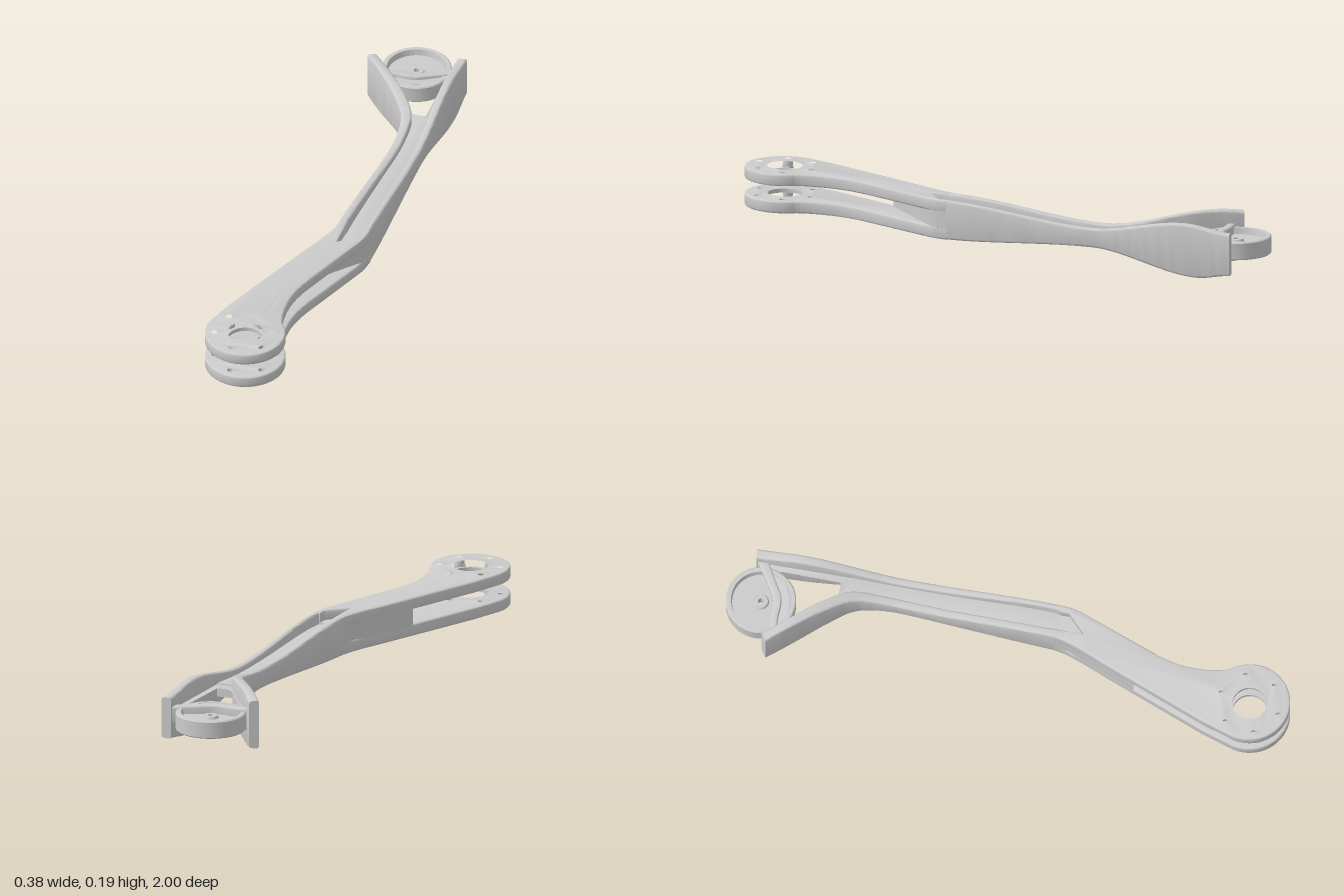
import * as THREE from 'three';
import { toCreasedNormals } from 'three/addons/utils/BufferGeometryUtils.js';

const material = new THREE.MeshStandardMaterial({ color: 0xcccccc });
const V = (x, y) => new THREE.Vector2(x, y);
const RING = { x: -0.05, z: 0.86, r: 0.14 };

// Side profile of the arm: height as a smooth function of z
function profile(keys, z) {
  if (z >= keys[0][0]) return keys[0][1];
  for (let i = 1; i < keys.length; i++) {
    const [z0, y0] = keys[i - 1], [z1, y1] = keys[i];
    if (z >= z1) {
      const t = (z - z0) / (z1 - z0);
      return y0 + (y1 - y0) * t * t * (3 - 2 * t);
    }
  }
  return keys[keys.length - 1][1];
}
const topY = z => profile([[0.17, 0.182], [-0.4, 0.137], [-0.75, 0.186], [-0.93, 0.165]], z);
const bottomY = z => profile([[0.17, 0.043], [-0.4, 0.07], [-0.8, 0], [-0.93, 0.018]], z);

// Loft a rounded rectangle between two plan curves; f0..f1 is the share of the arm's height
function loft(pairs, f0, f1, r, steps = 60) {
  const curve = k => new THREE.CatmullRomCurve3(
    pairs.map(p => new THREE.Vector3(p[k], 0, p[k + 1])), false, 'centripetal');
  const a = curve(0), b = curve(2), pos = [], idx = [], n = 16;
  for (let i = 0; i <= steps; i++) {
    const p = a.getPoint(i / steps), q = b.getPoint(i / steps);
    const w = p.distanceTo(q);
    for (let c = 0; c < 4; c++) for (let k = 0; k < 4; k++) {
      const ang = (c + k / 3) * Math.PI / 2;
      const u = ((c === 0 || c === 3) ? w - r : r) + r * Math.cos(ang);
      const m = p.clone().lerp(q, u / w);
      const lo = bottomY(m.z), h = topY(m.z) - lo;
      const y = (c < 2 ? lo + h * f1 - r : lo + h * f0 + r) + r * Math.sin(ang);
      pos.push(m.x, y, m.z);
    }
  }
  for (let i = 0; i < steps; i++) for (let j = 0; j < n; j++) {
    const s = i * n + j, t = i * n + (j + 1) % n;
    idx.push(s, s + n, t, t, s + n, t + n);
  }
  const e = steps * n;
  for (let j = 1; j < n - 1; j++) idx.push(0, j, j + 1, e, e + j + 1, e + j);
  const g = new THREE.BufferGeometry();
  g.setAttribute('position', new THREE.Float32BufferAttribute(pos, 3));
  g.setIndex(idx);
  return toCreasedNormals(g, 0.65);
}

// Extrude a plan shape (x, z) between two heights
function slab(shape, y0, y1, bevel = 0) {
  const g = new THREE.ExtrudeGeometry(shape, {
    depth: y1 - y0 - 2 * bevel, bevelEnabled: bevel > 0, bevelSize: bevel,
    bevelThickness: bevel, bevelOffset: -bevel, bevelSegments: 3, curveSegments: 32,
  });
  g.rotateX(Math.PI / 2).translate(0, y1 - bevel, 0);
  return g;
}

// The fork sinks slightly toward the middle of the arm
function slope(g) {
  const p = g.attributes.position;
  for (let i = 0; i < p.count; i++) p.setY(i, p.getY(i) - 0.0125 * (1 - p.getZ(i)));
  return toCreasedNormals(g, 0.65);
}

function lathe(points, x, z) {
  const pts = points.map(p => V(p[0], p[1]));
  pts.push(pts[0].clone());
  return new THREE.LatheGeometry(pts, 48).translate(x, 0, z);
}
const annulus = (r0, r1, y0, y1, x, z) =>
  lathe([[r0, y1], [r0, y0], [r1, y0], [r1, y1]], x, z);

function boltPositions() {
  return Array.from({ length: 6 }, (_, i) => {
    const a = -1.37 + i * Math.PI / 3;
    return [RING.x + 0.107 * Math.cos(a), RING.z + 0.107 * Math.sin(a)];
  });
}

function forkShape() {
  const s = new THREE.Shape();
  s.moveTo(0.178, 0.15);
  s.lineTo(0.152, 0.15);
  s.lineTo(0.152, 0.185);
  s.lineTo(0.087, 0.25);
  s.lineTo(0.087, 0.15);
  s.lineTo(0.056, 0.15);
  s.quadraticCurveTo(0.052, 0.2, 0, 0.32);
  s.lineTo(-0.15, 0.71);
  const end = Math.PI * 201.9 / 180, start = -0.7;
  s.lineTo(RING.x + RING.r * Math.cos(end), RING.z + RING.r * Math.sin(end));
  s.absarc(RING.x, RING.z, RING.r, end, start, true);
  s.quadraticCurveTo(0.037, 0.72, 0.037, 0.64);
  s.quadraticCurveTo(0.037, 0.58, 0.063, 0.505);
  s.lineTo(0.16, 0.24);
  s.quadraticCurveTo(0.176, 0.2, 0.178, 0.15);
  const hole = (x, z, r) => s.holes.push(new THREE.Path().absarc(x, z, r, 0, Math.PI * 2, true));
  hole(RING.x, RING.z, 0.068);
  boltPositions().forEach(([x, z]) => hole(x, z, 0.017));
  return s;
}

export function createModel() {
  const model = new THREE.Group();
  const add = (name, geometry) => {
    const m = new THREE.Mesh(geometry, material);
    m.name = name;
    model.add(m);
  };

  // Fork: two matching plates with a ring, recessed bolt seats and a bore lip
  const plates = [['upper', 0.15, 0.192, 0.15, 0.168], ['lower', 0.053, 0.096, 0.078, 0.096]];
  for (const [side, y0, y1, s0, s1] of plates) {
    add(side + 'ForkPlate', slope(slab(forkShape(), y0, y1, 0.006)));
    add(side + 'BoreLip', slope(annulus(0.061, 0.072, s0 + 0.002, s1 - 0.002, RING.x, RING.z)));
    boltPositions().forEach(([x, z]) =>
      add(side + 'BoltSeat', slope(annulus(0.01, 0.02, s0 + 0.001, s1 - 0.001, x, z))));
  }

  // Solid core closing the fork slot with a slanted wall
  const core = new THREE.Shape([
    V(0.178, 0.15), V(0.176, 0.175), V(0.168, 0.215), V(-0.028, 0.44), V(-0.05, 0.45),
    V(0, 0.32), V(0.047, 0.205), V(0.056, 0.15),
  ]);
  add('forkCore', slope(slab(core, 0.089, 0.157)));

  // Side rails of the beam
  add('rightRail', loft([
    [0.055, 0.18, 0.088, 0.18], [0.058, 0.1, 0.088, 0.1], [0.068, -0.2, 0.097, -0.2],
    [0.075, -0.47, 0.107, -0.46], [0.06, -0.56, 0.095, -0.575], [0.005, -0.645, 0.035, -0.667],
    [-0.07, -0.737, -0.042, -0.757], [-0.148, -0.83, -0.12, -0.85],
  ], 0, 1, 0.008, 90));
  add('leftRail', loft([
    [0.152, 0.185, 0.175, 0.185], [0.16, 0.1, 0.179, 0.1], [0.158, -0.2, 0.183, -0.2],
    [0.157, -0.5, 0.185, -0.5], [0.15, -0.92, 0.185, -0.925],
  ], 0, 1, 0.008, 90));

  // Web between the rails
  add('web', loft([
    [0.08, 0.2, 0.165, 0.2], [0.08, 0.1, 0.167, 0.1], [0.088, -0.2, 0.168, -0.2],
    [0.097, -0.46, 0.168, -0.46], [0.085, -0.57, 0.165, -0.58],
  ], 0.3, 0.7, 0.003));

  // Rear web with its triangular opening
  const rear = new THREE.Shape([V(0.09, -0.56), V(0.165, -0.56), V(0.165, -0.905)]);
  rear.splineThru([V(0.08, -0.862), V(0, -0.828), V(-0.115, -0.815)]);
  rear.lineTo(-0.04, -0.735);
  rear.lineTo(0.03, -0.65);
  const opening = new THREE.Path();
  opening.moveTo(0.09, -0.615);
  opening.lineTo(0.125, -0.615);
  opening.quadraticCurveTo(0.135, -0.615, 0.135, -0.63);
  opening.lineTo(0.135, -0.825);
  opening.quadraticCurveTo(0.132, -0.845, 0.115, -0.825);
  opening.quadraticCurveTo(0.06, -0.785, -0.02, -0.782);
  opening.quadraticCurveTo(-0.045, -0.775, -0.03, -0.755);
  opening.lineTo(0.07, -0.628);
  opening.quadraticCurveTo(0.08, -0.615, 0.09, -0.615);
  rear.holes.push(opening);
  add('rearWeb', toCreasedNormals(slab(rear, 0.066, 0.122, 0.003), 0.65));

  // Curved cross bar joining the rail ends
  add('crossBar', loft([
    [-0.115, -0.822, -0.105, -0.798], [-0.05, -0.832, -0.045, -0.806], [0.02, -0.836, 0.03, -0.808],
    [0.08, -0.868, 0.092, -0.84], [0.155, -0.918, 0.16, -0.88],
  ], 0.33, 0.76, 0.006, 32));

  // Round end seat: dished disc with rim and centre boss
  add('endDisc', toCreasedNormals(lathe([
    [0.01, 0.113], [0.01, 0.072], [0.024, 0.072], [0.028, 0.08], [0.1, 0.08], [0.104, 0.063],
    [0.118, 0.063], [0.122, 0.067], [0.122, 0.122], [0.118, 0.126], [0.104, 0.126],
    [0.1, 0.104], [0.028, 0.104], [0.024, 0.113],
  ], 0.016, -0.878), 0.6));

  return model;
}
